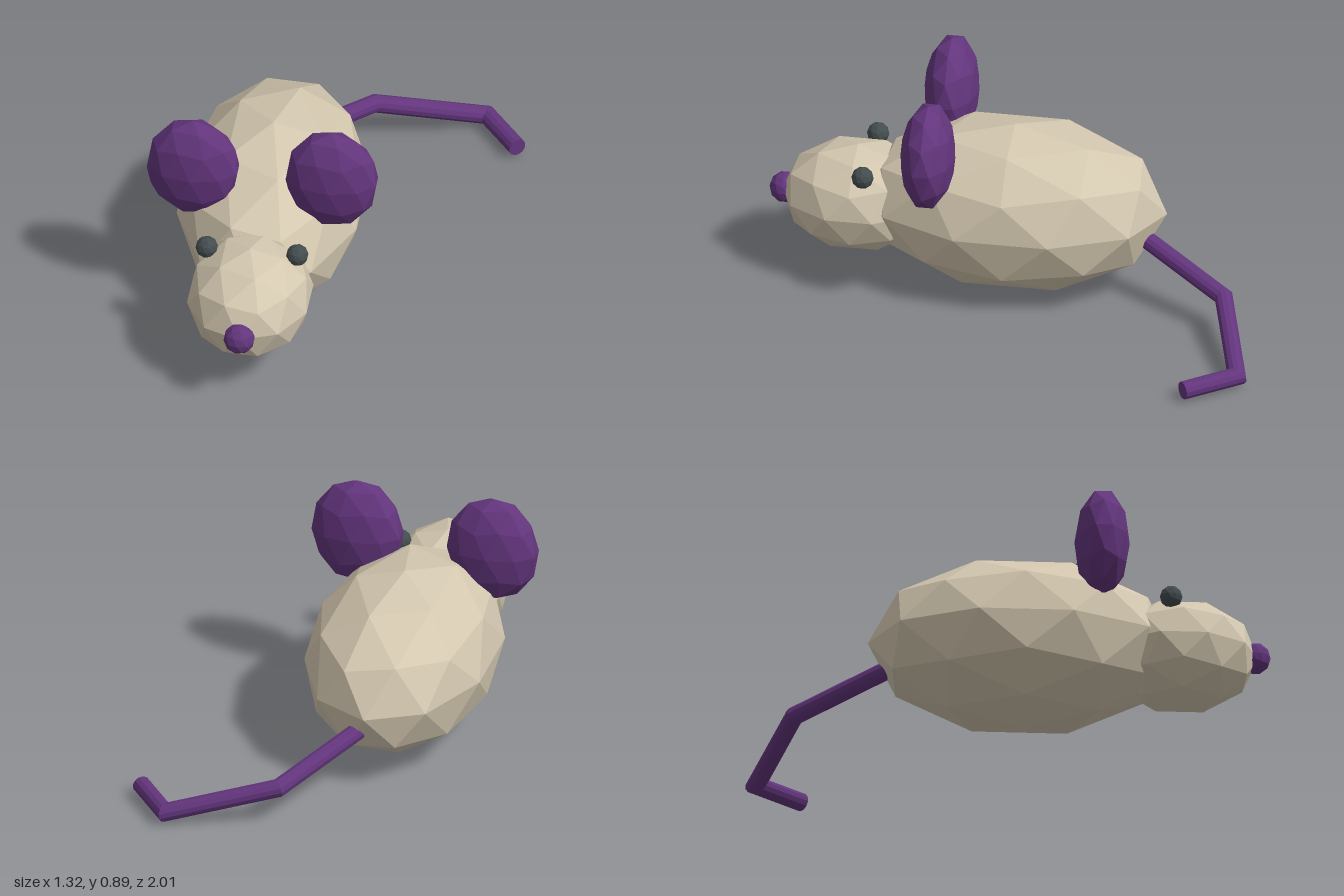
import * as THREE from 'three';

const fur = new THREE.MeshStandardMaterial({ color: 0xd3c7af });
fur.name = 'cream fur';
const purple = new THREE.MeshStandardMaterial({ color: 0x63357d });
purple.name = 'purple';
const grey = new THREE.MeshStandardMaterial({ color: 0x434c4e });
grey.name = 'dark grey';

const MID = -0.213; // x of the body's centre line

// Faceted ball with its poles up and down, stretched to the given radii
function ball(name, material, center, radii) {
  const g = new THREE.IcosahedronGeometry(1, 1);
  g.rotateX(-Math.atan((1 + Math.sqrt(5)) / 2));
  g.rotateY(Math.PI / 2);
  g.scale(...radii);
  g.computeVertexNormals(); // unshared corners give flat faces
  const mesh = new THREE.Mesh(g, material);
  mesh.name = name;
  mesh.position.set(...center);
  return mesh;
}

// Round bar through the points, with mitred joints and capped ends
function bentBar(points, radius, sides) {
  const dirs = points.slice(1).map((p, i) => p.clone().sub(points[i]).normalize());
  const u = new THREE.Vector3(0, 1, 0).cross(dirs[0]).normalize();
  const v = dirs[0].clone().cross(u);
  let ring = [];
  for (let k = 0; k < sides; k++) {
    const a = (k / sides) * Math.PI * 2;
    ring.push(points[0].clone()
      .addScaledVector(u, Math.cos(a) * radius)
      .addScaledVector(v, Math.sin(a) * radius));
  }
  const rings = [ring];
  dirs.forEach((d, i) => {
    // slide the ring along its segment onto the mitre plane of the next point
    const n = dirs[i + 1] ? d.clone().add(dirs[i + 1]).normalize() : d;
    ring = ring.map((p) => {
      const t = points[i + 1].clone().sub(p).dot(n) / d.dot(n);
      return p.clone().addScaledVector(d, t);
    });
    rings.push(ring);
  });
  const tris = [];
  const last = rings.length - 1;
  for (let k = 0; k < sides; k++) {
    const m = (k + 1) % sides;
    for (let i = 0; i < last; i++) {
      const a = rings[i][k], b = rings[i][m], c = rings[i + 1][m], d = rings[i + 1][k];
      tris.push(a, b, c, a, c, d);
    }
    tris.push(points[0], rings[0][m], rings[0][k]);
    tris.push(points[last], rings[last][k], rings[last][m]);
  }
  const g = new THREE.BufferGeometry().setFromPoints(tris);
  g.computeVertexNormals();
  return g;
}

export function createModel() {
  const model = new THREE.Group();
  model.name = 'mouse';

  // Body, head and nose along the centre line
  model.add(ball('body', fur, [MID, 0.35, 0.03], [0.372, 0.345, 0.6]));
  model.add(ball('head', fur, [MID, 0.325, 0.65], [0.247, 0.22, 0.3]));
  model.add(ball('nose', purple, [MID, 0.325, 0.94], [0.062, 0.062, 0.06]));

  // Ears and eyes on both sides
  for (const [side, s] of [['left', 1], ['right', -1]]) {
    model.add(ball(side + 'Ear', purple, [MID + s * 0.273, 0.676, 0.327], [0.186, 0.221, 0.108]));
    model.add(ball(side + 'Eye', grey, [MID + s * 0.178, 0.498, 0.602], [0.044, 0.044, 0.044]));
  }

  // Bent tail, starting inside the body
  const path = [
    [-0.21, 0.275, -0.43],
    [0.055, 0.155, -0.84],
    [0.478, 0.051, -0.965],
    [0.625, 0.051, -0.777],
  ].map((p) => new THREE.Vector3(...p));
  const tail = new THREE.Mesh(bentBar(path, 0.036, 12), purple);
  tail.name = 'tail';
  model.add(tail);

  return model;
}
